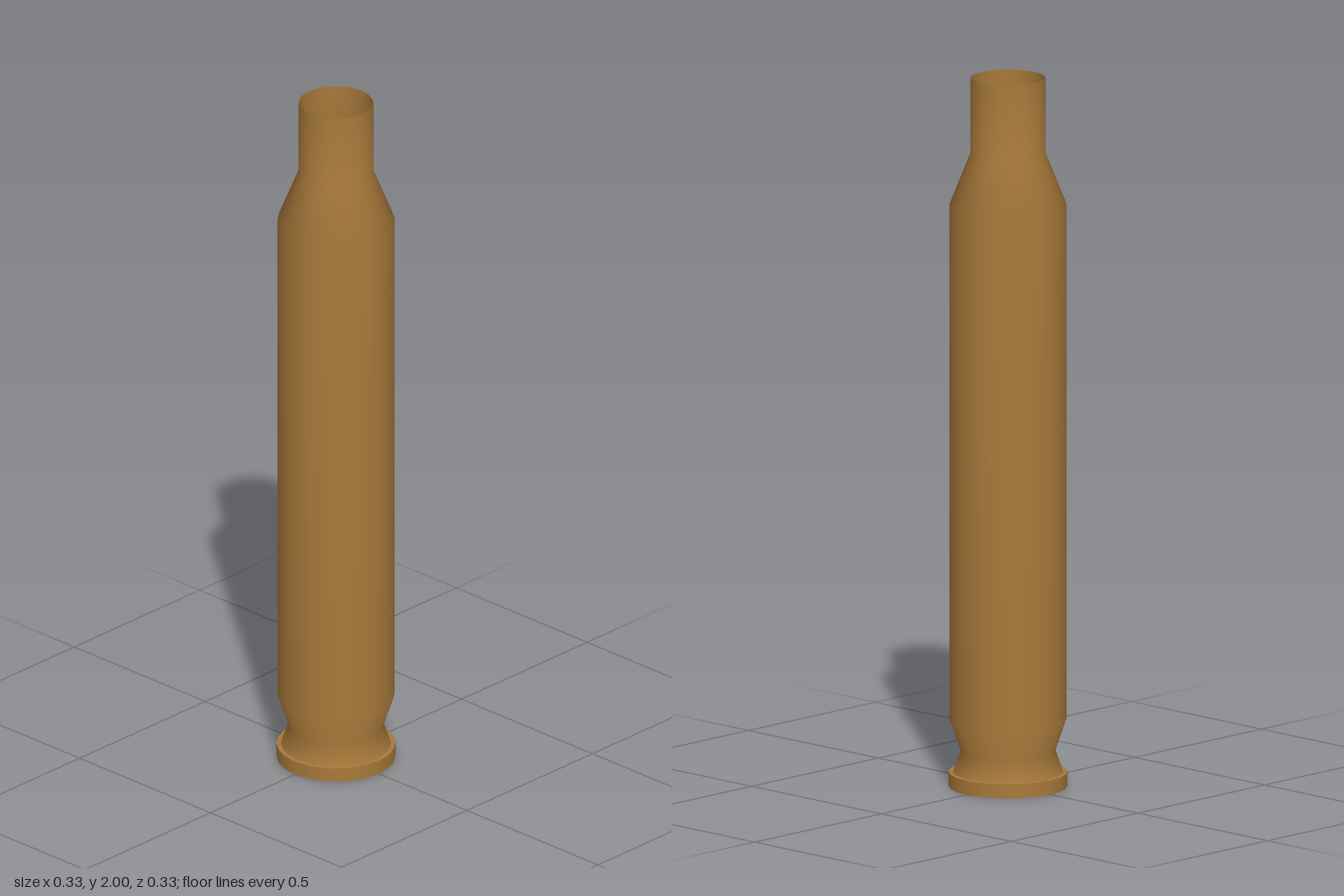
import * as THREE from 'three';

const SEGMENTS = 24;

// Revolve a list of [radius, height] points around y
function lathe(name, points, material) {
  const profile = points.map(([r, y]) => new THREE.Vector2(r, y));
  const mesh = new THREE.Mesh(new THREE.LatheGeometry(profile, SEGMENTS), material);
  mesh.name = name;
  return mesh;
}

export function createModel() {
  const group = new THREE.Group();
  group.name = 'bottleneckCase';

  const brass = new THREE.MeshStandardMaterial({ color: 0xa8793a, side: THREE.DoubleSide });
  const grey = new THREE.MeshStandardMaterial({ color: 0xcccccc });

  // Thin open shell: groove, straight body, sloping shoulder and neck
  group.add(lathe('caseWall', [
    [0.152, 0.04], [0.131, 0.1], [0.161, 0.19],
    [0.161, 1.645], [0.103, 1.79], [0.103, 2],
  ], brass));

  // Rim: flat base, short side and narrow ledge, each with its own hard edges
  group.add(lathe('base', [[0, 0], [0.164, 0]], brass));
  group.add(lathe('rimSide', [[0.164, 0], [0.164, 0.04]], brass));
  group.add(lathe('rimLedge', [[0.164, 0.04], [0.152, 0.04]], brass));

  // Floor seen through the open neck
  const floor = new THREE.Mesh(new THREE.CircleGeometry(0.152, SEGMENTS), grey);
  floor.name = 'innerFloor';
  floor.rotation.x = -Math.PI / 2;
  floor.position.y = 0.04;
  group.add(floor);

  return group;
}
